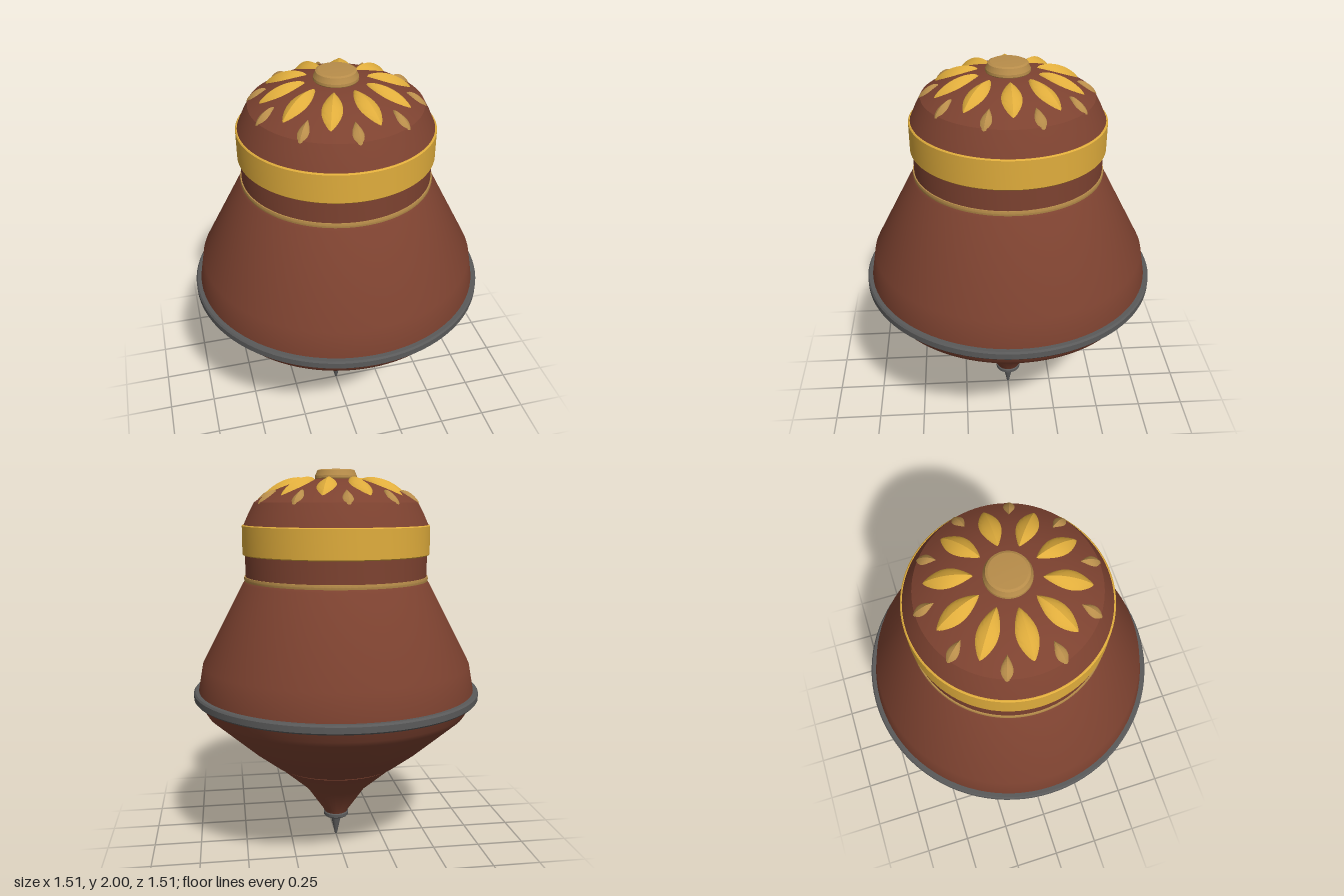
import * as THREE from 'three';
import { toCreasedNormals } from 'three/addons/utils/BufferGeometryUtils.js';

const paint = (color) => new THREE.MeshStandardMaterial({ color });
const wood = paint(0x7d4230), gold = paint(0xe0ad3c), tan = paint(0xb88d4a), metal = paint(0x5a5a5a);

function addMesh(parent, name, geometry, material) {
  const mesh = new THREE.Mesh(geometry, material);
  mesh.name = name;
  parent.add(mesh);
  return mesh;
}

// Turned part from [radius, height] pairs, listed bottom to top along the outside
function turned(parent, name, material, profile) {
  const points = profile.map(([r, y]) => new THREE.Vector2(r, y));
  return addMesh(parent, name, toCreasedNormals(new THREE.LatheGeometry(points, 96), 0.35), material);
}

// Height of the crown surface at a distance from the axis
const crownY = (r) => 1.955 - 0.12 * (r / 0.42) ** 2.5;

// Leaf with a central ridge, wrapped onto the crown along +x
function petalGeometry(inner, outer, halfWidth, height, skew, blunt) {
  const g = new THREE.PlaneGeometry(1, 2, 20, 12);
  const p = g.attributes.position;
  for (let i = 0; i < p.count; i++) {
    const t = p.getX(i) + 0.5, v = p.getY(i);
    const along = inner + (outer - inner) * t;
    const side = v * halfWidth * Math.max(0, Math.sin(Math.PI * t ** skew)) ** blunt;
    const lift = height * Math.max(0, 1 - Math.abs(v)) ** 0.65 * Math.max(0, Math.sin(Math.PI * t)) ** 0.5;
    p.setXYZ(i, along, crownY(Math.hypot(along, side)) + lift - 0.004, -side);
  }
  return toCreasedNormals(g, 0.5);
}

function petalRing(parent, name, geometry, material, count, offset) {
  const ring = new THREE.Group();
  ring.name = name + 's';
  for (let i = 0; i < count; i++) {
    addMesh(ring, name, geometry, material).rotation.y = offset + (i / count) * Math.PI * 2;
  }
  parent.add(ring);
}

export function createModel() {
  const top = new THREE.Group();
  top.name = 'spinningTop';

  // Metal point and its collar
  turned(top, 'spinTip', metal, [[0, 0], [0.006, 0.004], [0.03, 0.12], [0, 0.12]]);
  turned(top, 'tipCollar', metal, [[0, 0.118], [0.062, 0.118], [0.068, 0.124], [0.068, 0.14], [0.06, 0.147], [0, 0.147]]);

  // Lower cone
  turned(top, 'lowerCone', wood, [
    [0, 0.143], [0.062, 0.143], [0.07, 0.16], [0.164, 0.296], [0.333, 0.445], [0.333, 0.46], [0, 0.46]]);

  // Main body, from underside to neck
  turned(top, 'body', wood, [
    [0, 0.456], [0.352, 0.456], [0.466, 0.545], [0.69, 0.745], [0.705, 0.77], [0.73, 0.825],
    [0.73, 0.87], [0.705, 1.005], [0.485, 1.425], [0.476, 1.437], [0.472, 1.44], [0.472, 1.6], [0, 1.6]]);

  // Bands around the body
  turned(top, 'rimBand', metal, [
    [0.71, 0.82], [0.75, 0.82], [0.757, 0.828], [0.757, 0.858], [0.75, 0.867], [0.71, 0.867]]);
  turned(top, 'neckRing', tan, [[0.46, 1.437], [0.478, 1.437], [0.48, 1.448], [0.478, 1.46], [0.46, 1.46]]);
  turned(top, 'neckBand', gold, [
    [0.455, 1.57], [0.48, 1.57], [0.485, 1.575], [0.485, 1.717], [0.48, 1.722], [0.455, 1.722]]);

  // Crown
  const crown = [[0.476, 1.6], [0.476, 1.722], [0.452, 1.775]];
  for (let i = 0; i <= 14; i++) {
    const r = 0.42 * (1 - i / 14);
    crown.push([r, crownY(r)]);
  }
  turned(top, 'crown', wood, crown);

  // Flower on the crown
  const flower = new THREE.Group();
  flower.name = 'flower';
  top.add(flower);
  turned(flower, 'flowerCentre', tan, [
    [0.1, 1.94], [0.108, 1.955], [0.107, 1.967], [0.1, 1.982], [0.096, 1.993], [0.085, 1.998], [0.05, 2], [0, 2]]);
  petalRing(flower, 'largePetal', petalGeometry(0.145, 0.372, 0.051, 0.032, 1.1, 0.8), gold, 10, 0);
  petalRing(flower, 'smallPetal', petalGeometry(0.328, 0.428, 0.029, 0.024, 1.4, 0.7), tan, 10, Math.PI / 10);

  return top;
}
